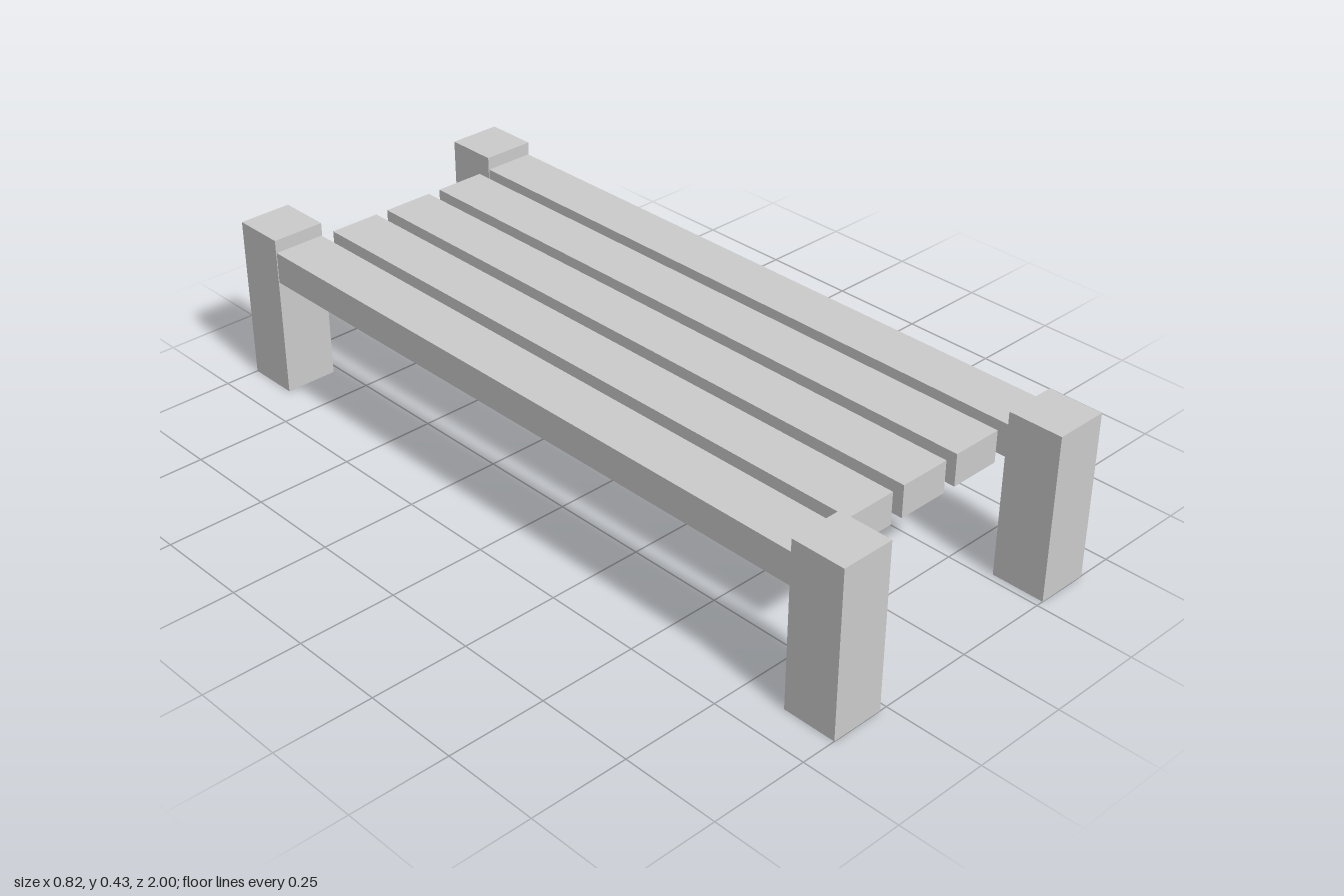
import * as THREE from 'three';

export function createModel() {
  const group = new THREE.Group();
  const material = new THREE.MeshStandardMaterial({ color: 0xcccccc, flatShading: true });

  const addBox = (name, [w, h, d], [x, y, z]) => {
    const mesh = new THREE.Mesh(new THREE.BoxGeometry(w, h, d), material);
    mesh.name = name;
    mesh.position.set(x, y, z);
    group.add(mesh);
  };

  const legSize = 0.139, legHeight = 0.429;
  const legX = 0.339, legZ = 1 - legSize / 2;

  // Four square corner posts
  for (const sx of [-1, 1]) {
    for (const sz of [-1, 1]) {
      const name = (sz > 0 ? 'front' : 'back') + (sx > 0 ? 'Left' : 'Right') + 'Leg';
      addBox(name, [legSize, legHeight, legSize], [sx * legX, legHeight / 2, sz * legZ]);
    }
  }

  // Five long slats; the outer two run between the posts as side rails
  const slatLength = 2 * (1 - legSize) - 0.004;
  for (let i = -2; i <= 2; i++) {
    const name = Math.abs(i) === 2 ? (i > 0 ? 'leftRail' : 'rightRail') : 'slat';
    addBox(name, [0.135, 0.082, slatLength + (Math.abs(i) === 2 ? 0.004 : 0)], [(i * legX) / 2, 0.354, 0]);
  }

  return group;
}
